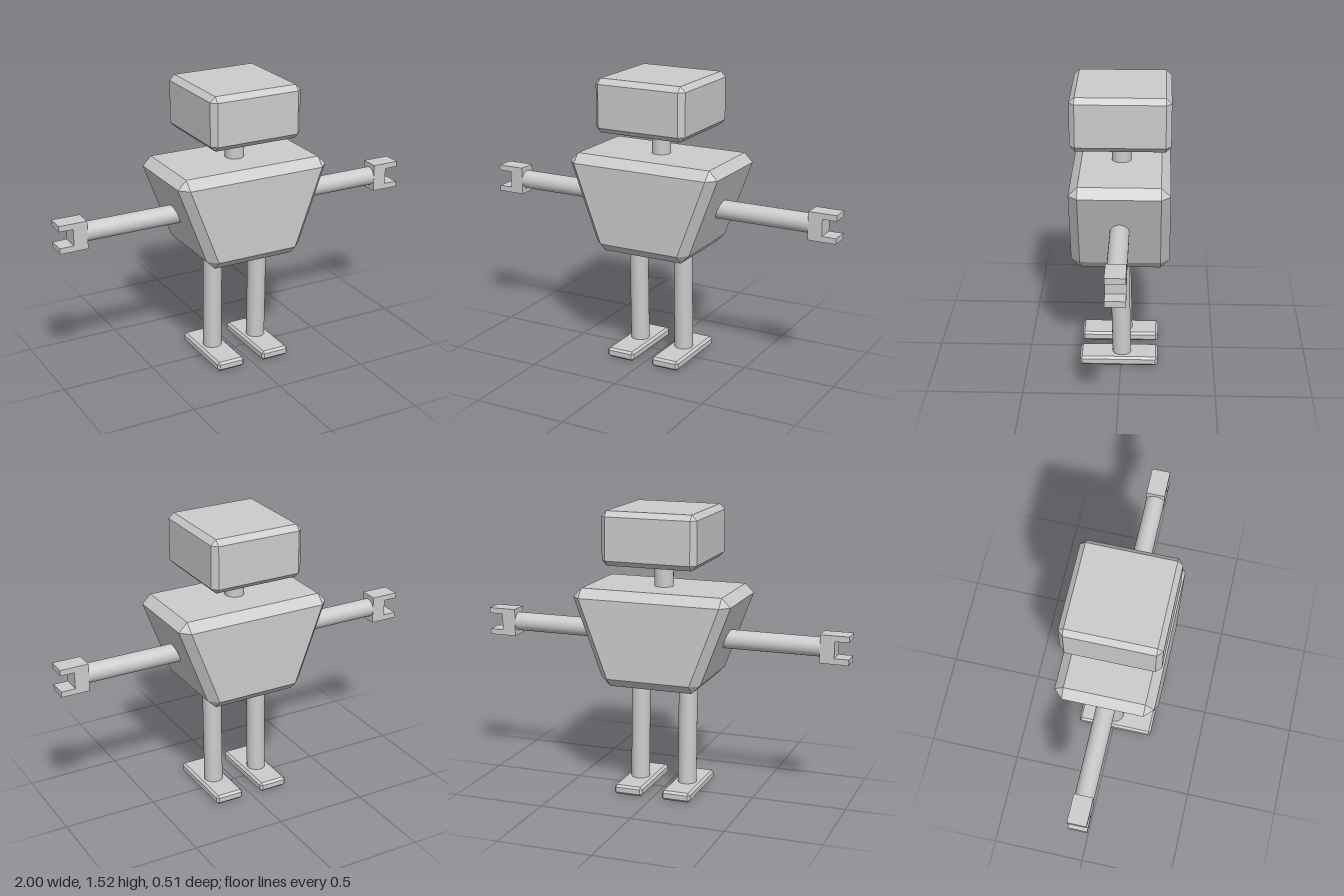
import * as THREE from 'three';
import { ConvexGeometry } from 'three/addons/geometries/ConvexGeometry.js';

const material = new THREE.MeshStandardMaterial({ color: 0xcccccc });

function add(parent, name, geometry, x = 0, y = 0, z = 0) {
  const mesh = new THREE.Mesh(geometry, material);
  mesh.name = name;
  mesh.position.set(x, y, z);
  parent.add(mesh);
  return mesh;
}

// Chamfered box from y0 to y1; half widths wBottom and wTop may differ to taper it
function chamferedBox(wBottom, wTop, y0, y1, depth, bevel) {
  const points = [];
  const ends = [[wBottom, y0, 1], [wTop, y1, -1]];
  for (const [w, y, inward] of ends) {
    for (const sx of [-1, 1]) {
      for (const sz of [-1, 1]) {
        points.push(
          new THREE.Vector3(sx * (w - bevel), y, sz * (depth - bevel)),
          new THREE.Vector3(sx * w, y + inward * bevel, sz * (depth - bevel)),
          new THREE.Vector3(sx * (w - bevel), y + inward * bevel, sz * depth)
        );
      }
    }
  }
  return new ConvexGeometry(points);
}

// Round rod between two points
function addRod(parent, name, from, to, radius) {
  const a = new THREE.Vector3(...from);
  const b = new THREE.Vector3(...to);
  const rod = add(parent, name, new THREE.CylinderGeometry(radius, radius, a.distanceTo(b), 32));
  rod.position.copy(a).add(b).multiplyScalar(0.5);
  rod.quaternion.setFromUnitVectors(new THREE.Vector3(0, 1, 0), b.sub(a).normalize());
  return rod;
}

// C-shaped gripper, open toward +x
function gripperGeometry() {
  const shape = new THREE.Shape([
    [0, -0.074], [0.15, -0.074], [0.15, -0.044], [0.075, -0.044],
    [0.075, 0.044], [0.15, 0.044], [0.15, 0.074], [0, 0.074],
  ].map(([x, y]) => new THREE.Vector2(x, y)));
  const geometry = new THREE.ExtrudeGeometry(shape, { depth: 0.1, bevelEnabled: false });
  return geometry.translate(0, 0, -0.05);
}

export function createModel() {
  const robot = new THREE.Group();
  robot.name = 'robot';

  // Head, neck and tapered body
  add(robot, 'head', chamferedBox(0.256, 0.256, 1.243, 1.525, 0.255, 0.028));
  addRod(robot, 'neck', [0, 1.08, 0], [0, 1.27, 0], 0.05);
  add(robot, 'torso', chamferedBox(0.272, 0.428, 0.602, 1.113, 0.255, 0.047));

  for (const [side, s] of [['left', 1], ['right', -1]]) {
    // Arm with gripper
    addRod(robot, side + 'Arm', [s * 0.28, 0.856, 0], [s * 0.86, 0.856, 0], 0.05);
    const hand = add(robot, side + 'Hand', gripperGeometry(), s * 0.85, 0.856, 0);
    if (s < 0) hand.rotation.y = Math.PI;

    // Leg leaning slightly back, on a long flat foot
    addRod(robot, side + 'Leg', [s * 0.134, 0.03, -0.006], [s * 0.134, 0.63, 0.007], 0.05);
    add(robot, side + 'Foot', chamferedBox(0.079, 0.079, 0, 0.051, 0.209, 0.012), s * 0.134, 0, 0.01);
  }
  return robot;
}
